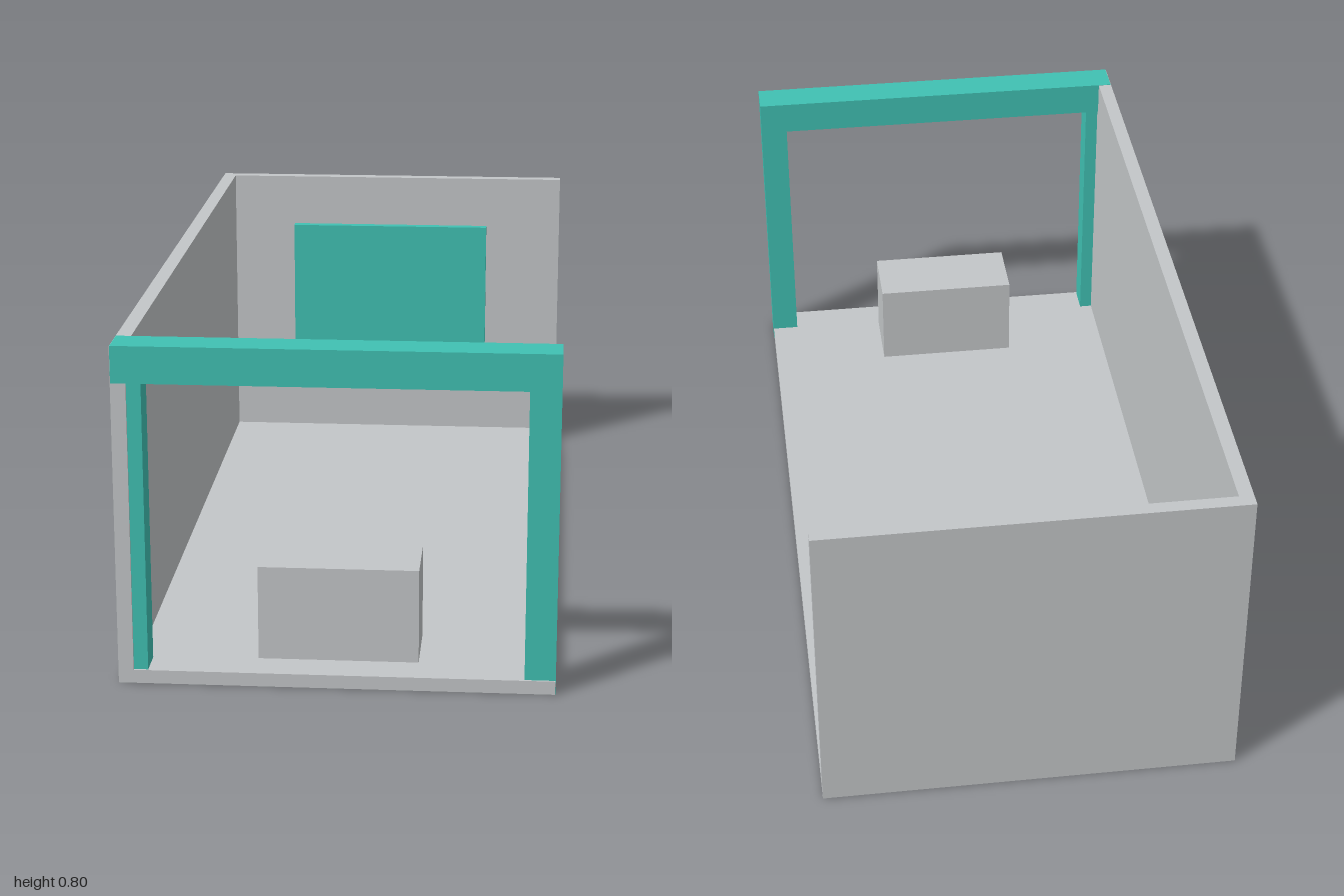
import * as THREE from 'three';

export function createModel() {
  const model = new THREE.Group();
  model.name = 'openRoom';

  const grey = new THREE.MeshStandardMaterial({ color: 0xc3c6c8 });
  grey.name = 'pale grey';
  const teal = new THREE.MeshStandardMaterial({ color: 0x40c1b3 });
  teal.name = 'teal';

  // Box given by its extents along each axis
  function block(name, material, [x0, x1], [y0, y1], [z0, z1]) {
    const mesh = new THREE.Mesh(new THREE.BoxGeometry(x1 - x0, y1 - y0, z1 - z0), material);
    mesh.position.set((x0 + x1) / 2, (y0 + y1) / 2, (z0 + z1) / 2);
    mesh.name = name;
    model.add(mesh);
  }

  // Room shell, open on the left and at the front
  block('floor', grey, [-0.5, 0.5], [0, 0.032], [-1, 1]);
  block('sideWall', grey, [-0.5, -0.465], [0.032, 0.8], [-1, 1]);
  block('backWall', grey, [-0.465, 0.5], [0.032, 0.8], [-1, -0.967]);

  // Door frame, a hair proud of the shell where faces would coincide
  block('rightPost', teal, [-0.465, -0.432], [0.032, 0.716], [0.922, 0.995]);
  block('leftPost', teal, [0.43, 0.501], [-0.001, 0.716], [0.922, 0.995]);
  block('lintel', teal, [-0.499, 0.501], [0.715, 0.801], [0.912, 1.001]);

  // Wall panel and its backing
  block('wallPanel', teal, [-0.285, 0.285], [0.264, 0.663], [-0.943, -0.917]);
  block('panelBacking', grey, [-0.275, 0.275], [0.285, 0.642], [-0.957, -0.943]);

  // Low block just inside the entrance
  block('bench', grey, [-0.187, 0.185], [0.032, 0.257], [0.735, 0.91]);

  return model;
}
